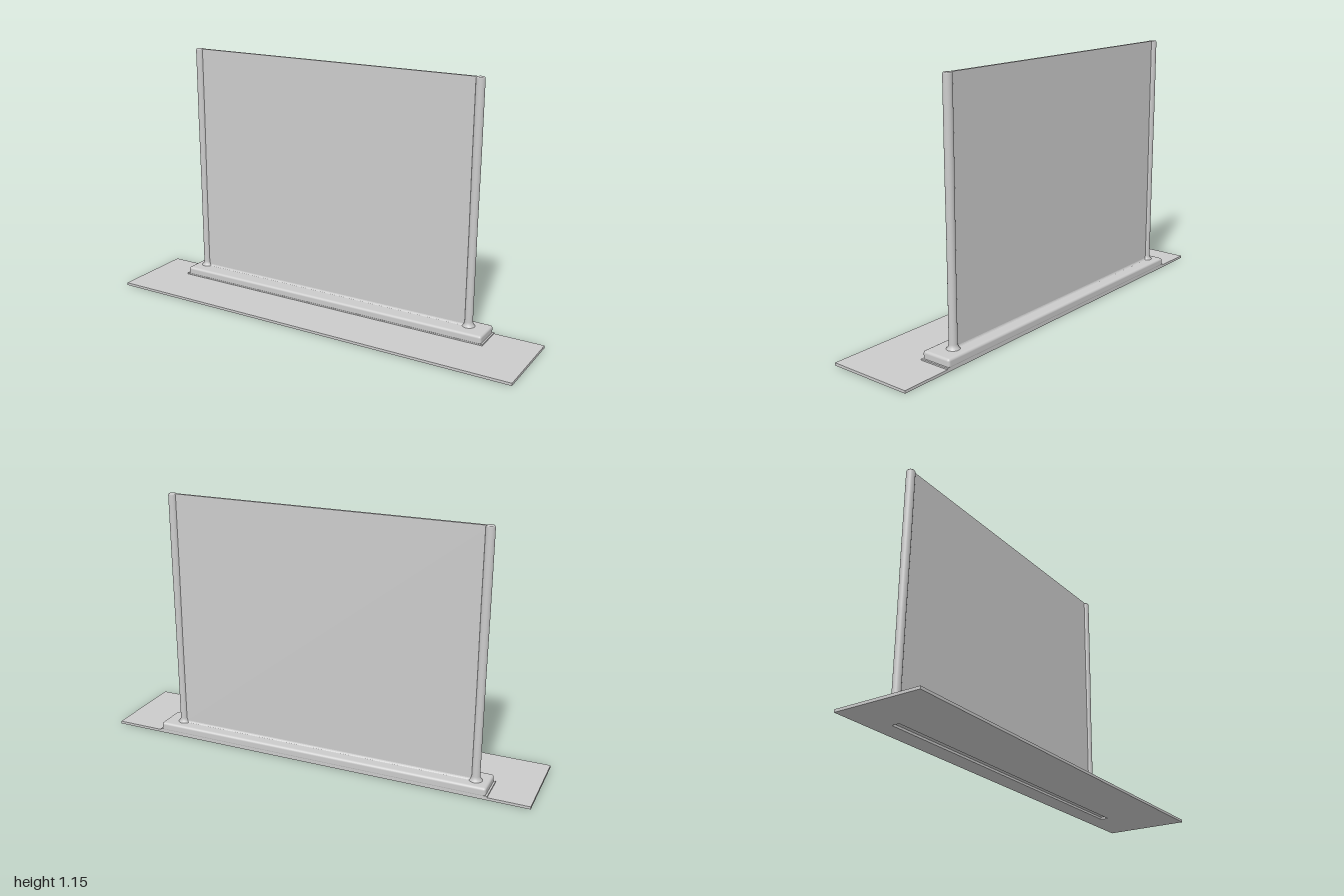
import * as THREE from 'three';
import { RoundedBoxGeometry } from 'three/addons/geometries/RoundedBoxGeometry.js';

const PANEL_Z = -0.135;
const TOP = 1.15;

export function createModel() {
  const group = new THREE.Group();
  const material = new THREE.MeshStandardMaterial({ color: 0xcccccc });

  const add = (name, geometry, x, y, z) => {
    const mesh = new THREE.Mesh(geometry, material);
    mesh.name = name;
    mesh.position.set(x, y, z);
    group.add(mesh);
    return mesh;
  };

  // Rectangle outline given by its corners
  const rect = (path, x0, y0, x1, y1) => {
    path.moveTo(x0, y0);
    path.lineTo(x1, y0);
    path.lineTo(x1, y1);
    path.lineTo(x0, y1);
    path.closePath();
    return path;
  };

  // Thin ground plate with a long slot under the plinth (shape y becomes -z)
  const outline = rect(new THREE.Shape(), -1, -0.195, 1, 0.195);
  outline.holes.push(rect(new THREE.Path(), -0.79, 0.075, 0.74, 0.11));
  const plate = new THREE.ExtrudeGeometry(outline, { depth: 0.012, bevelEnabled: false });
  plate.rotateX(-Math.PI / 2);
  add('groundPlate', plate, 0, 0, 0);

  // Long plinth with softened edges, flush with the back of the plate
  add('plinth', new RoundedBoxGeometry(1.575, 0.041, 0.142, 4, 0.011), -0.022, 0.0305, -0.125);
  add('plinthFoot', new THREE.BoxGeometry(1.59, 0.008, 0.142), -0.022, 0.014, -0.124);

  // Thin upright panel between the posts, with a small bead where it meets the plinth
  add('panel', new THREE.BoxGeometry(1.425, TOP - 0.045, 0.013), -0.0375, (TOP + 0.045) / 2, PANEL_Z);
  const bead = new THREE.Shape();
  bead.moveTo(-0.018, 0);
  bead.lineTo(0.018, 0);
  bead.quadraticCurveTo(0.007, 0.002, 0.006, 0.014);
  bead.lineTo(-0.006, 0.014);
  bead.quadraticCurveTo(-0.007, 0.002, -0.018, 0);
  const beadGeometry = new THREE.ExtrudeGeometry(bead, { depth: 1.42, bevelEnabled: false, curveSegments: 5 });
  beadGeometry.rotateY(Math.PI / 2);
  add('panelBead', beadGeometry, -0.7475, 0.049, PANEL_Z);

  // Round end posts, flared at the foot and softened at the top
  const profile = [
    [0, 0.04], [0.03, 0.045], [0.029, 0.051], [0.022, 0.058], [0.018, 0.072],
    [0.018, 0.5], [0.0195, 0.8], [0.0195, TOP - 0.006], [0.016, TOP], [0, TOP],
  ].map(([r, y]) => new THREE.Vector2(r, y));
  const post = new THREE.LatheGeometry(profile, 20);
  add('rightPost', post, -0.75, 0, PANEL_Z);
  add('leftPost', post, 0.675, 0, PANEL_Z);

  return group;
}
